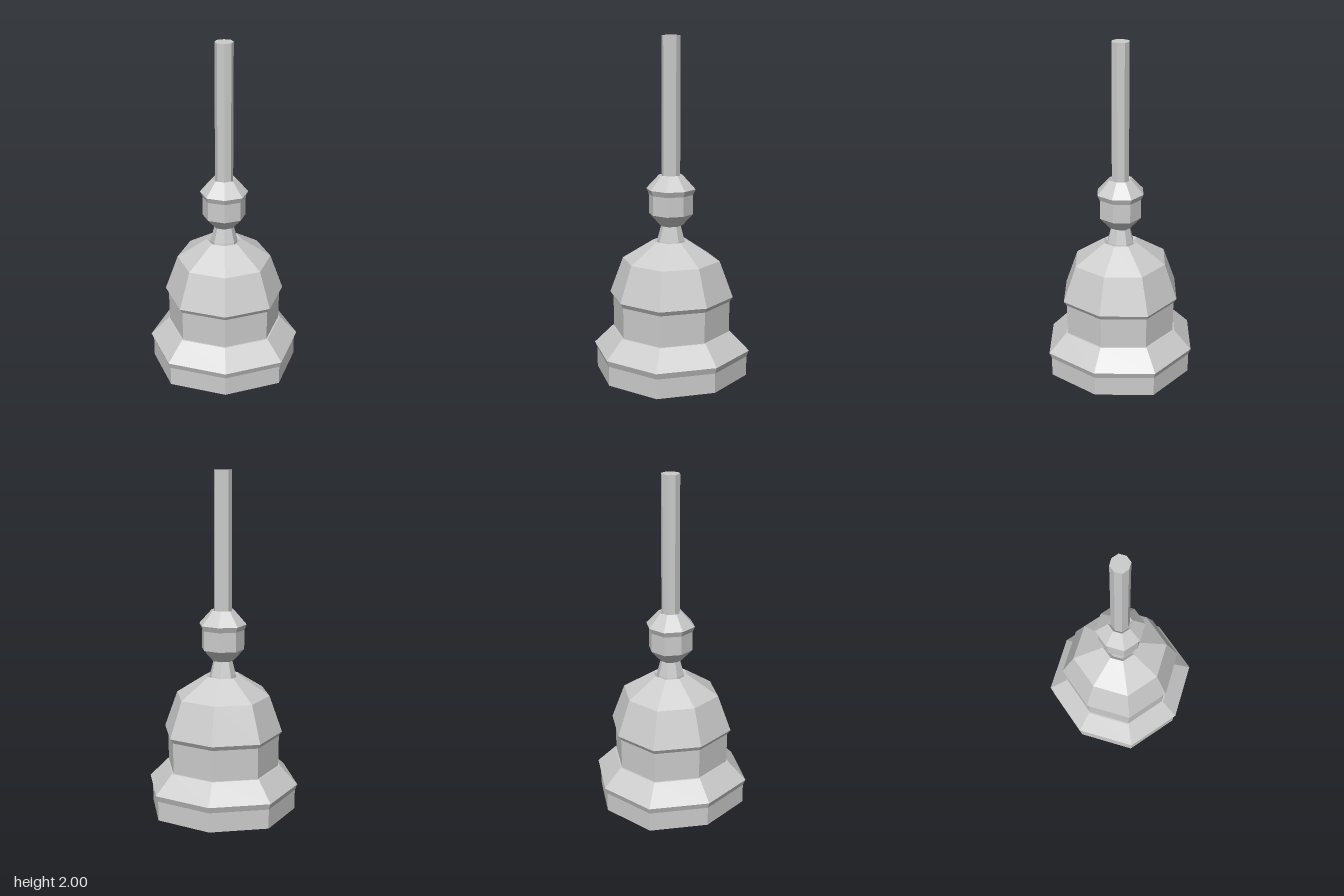
import * as THREE from 'three';

const material = new THREE.MeshStandardMaterial({ color: 0xcccccc, flatShading: true });

// Eight-sided turned part; the diagonal corners sit slightly closer to the axis.
function turned(name, profile) {
  const points = profile.map(([r, y]) => new THREE.Vector2(r, y));
  const geometry = new THREE.LatheGeometry(points, 8);
  const pos = geometry.attributes.position;
  for (let i = 0; i < pos.count; i++) {
    const x = pos.getX(i), z = pos.getZ(i);
    const diagonal = Math.abs(Math.sin(2 * Math.atan2(x, z))) > 0.5;
    const k = diagonal ? 0.957 : 1;
    pos.setX(i, x * k);
    pos.setZ(i, z * k);
  }
  geometry.computeVertexNormals();
  const mesh = new THREE.Mesh(geometry, material);
  mesh.name = name;
  return mesh;
}

export function createModel() {
  const model = new THREE.Group();
  model.name = 'handBell';

  // Hollow bell: cavity from the crown down, rim, then the stepped outside
  model.add(turned('bell', [
    [0, 0.74], [0.08, 0.74], [0.23, 0.64], [0.3, 0.45], [0.335, 0],
    [0.457, 0], [0.457, 0.116], [0.472, 0.153], [0.36, 0.265], [0.35, 0.265],
    [0.352, 0.45], [0.371, 0.478], [0.291, 0.693], [0.105, 0.81],
    [0.08, 0.79], [0, 0.79],
  ]));

  // Tapered neck
  model.add(turned('neck', [[0, 0.78], [0.086, 0.78], [0.082, 0.81], [0.058, 0.9], [0.058, 0.92], [0, 0.92]]));

  // Knob with a shallow recess where the handle enters
  model.add(turned('knob', [
    [0, 0.9], [0.067, 0.9], [0.132, 0.97], [0.132, 1.085],
    [0.147, 1.117], [0.07, 1.2], [0.053, 1.18], [0, 1.18],
  ]));

  // Straight handle
  model.add(turned('handle', [[0, 1.17], [0.055, 1.17], [0.055, 2], [0, 2]]));

  return model;
}
